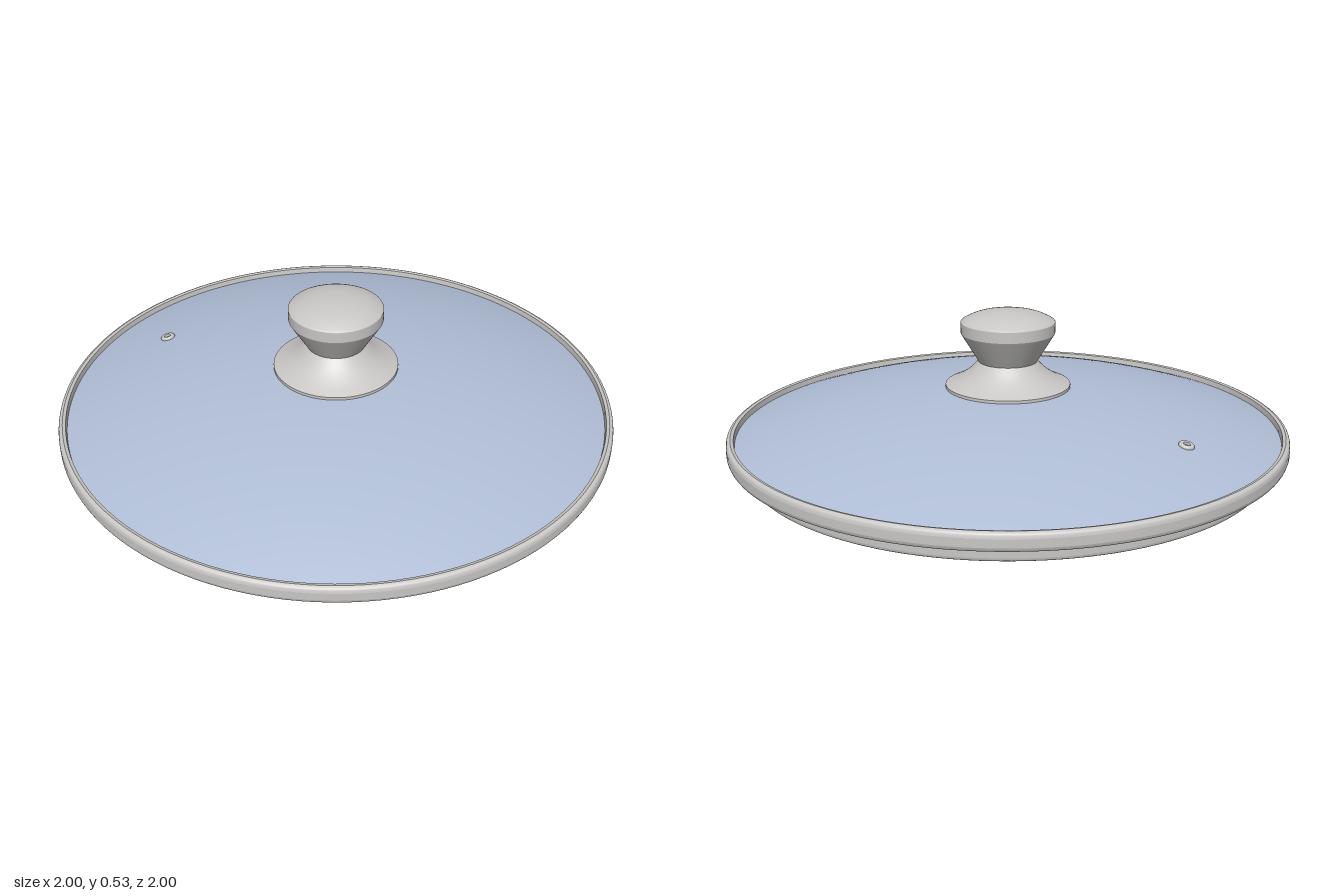
import * as THREE from 'three';
import { mergeGeometries } from 'three/addons/utils/BufferGeometryUtils.js';

const metal = new THREE.MeshStandardMaterial({ color: 0xc8c7c5 });
metal.name = 'brushed metal';
const glass = new THREE.MeshStandardMaterial({ color: 0xb0bed6 });
glass.name = 'tinted glass';

// Turned part: each run of [radius, height] points is smooth, edges between runs stay sharp
function turned(name, material, runs, segments = 128) {
  const parts = runs.map((run) =>
    new THREE.LatheGeometry(run.map(([r, y]) => new THREE.Vector2(r, y)), segments));
  const mesh = new THREE.Mesh(mergeGeometries(parts), material);
  mesh.name = name;
  return mesh;
}

// Split a polyline into one sharp run per straight piece
const straight = (pts) => pts.slice(1).map((p, i) => [pts[i], p]);

// Smooth curve through a few profile points
const curve = (pts, n = 12) =>
  new THREE.SplineCurve(pts.map(([r, y]) => new THREE.Vector2(r, y)))
    .getPoints(n).map((p) => [p.x, p.y]);

// Height of the spherical dome at a radius
const DOME = 2.95;
const domeY = (r, top = 0.26) => top - DOME + Math.sqrt(DOME * DOME - r * r);

export function createModel() {
  const lid = new THREE.Group();
  lid.name = 'potLid';

  // Glass dome: upper skin, lower skin rounding down into a short skirt
  const upper = [], lower = [];
  for (let i = 0; i <= 24; i++) {
    const t = i / 24;
    upper.push([0.975 * (1 - t), domeY(0.975 * (1 - t))]);
    lower.push([0.87 * t, domeY(0.87 * t, 0.242)]);
  }
  lower.push([0.895, 0.098], [0.909, 0.08], [0.915, 0.06], [0.916, 0.03]);
  lid.add(turned('glassDome', glass, [upper, lower, [[0.916, 0.03], [0.925, 0.03]]]));

  // Metal rim with a stepped lower ring
  lid.add(turned('metalRim', metal, [
    [[0.919, 0.03], [0.919, 0.004]],
    [[0.919, 0.004], [0.923, 0]],
    [[0.923, 0], [0.931, 0]],
    curve([[0.931, 0], [0.936, 0.004], [0.938, 0.012]], 6),
    [[0.938, 0.012], [0.938, 0.042]],
    curve([[0.938, 0.042], [0.942, 0.051], [0.952, 0.055]], 6),
    [[0.952, 0.055], [0.982, 0.055]],
    curve([[0.982, 0.055], [0.995, 0.06], [1, 0.072]], 8),
    [[1, 0.072], [1, 0.1]],
    curve([[1, 0.1], [0.996, 0.113], [0.985, 0.119]], 8),
    [[0.985, 0.119], [0.974, 0.116]],
    [[0.974, 0.116], [0.97, 0.09]],
  ]));

  // Knob: flared foot, cone and domed cap
  const knob = new THREE.Group();
  knob.name = 'knob';
  knob.add(turned('knobFoot', metal, [
    [[0.1, 0.25], [0.224, 0.25]],
    [[0.224, 0.25], [0.224, 0.262]],
    curve([[0.224, 0.262], [0.182, 0.282], [0.142, 0.309], [0.105, 0.345]]),
    [[0.105, 0.345], [0, 0.345]],
  ], 64));
  knob.add(turned('knobGrip', metal, [
    [[0.105, 0.345], [0.164, 0.442]],
    [[0.164, 0.442], [0.168, 0.449]],
    [[0.168, 0.449], [0.168, 0.486]],
    curve([[0.168, 0.486], [0.163, 0.493], [0.12, 0.513], [0.06, 0.526], [0, 0.53]], 16),
  ], 64));
  // Washer and screw head under the glass
  knob.add(turned('washer', metal, straight(
    [[0, 0.226], [0.06, 0.226], [0.068, 0.232], [0.068, 0.246]]), 48));
  knob.add(turned('screwHead', metal, [
    curve([[0, 0.207], [0.02, 0.209], [0.034, 0.217]], 8),
    [[0.034, 0.217], [0.034, 0.228]],
  ], 32));
  lid.add(knob);

  // Steam vent: small grommet set square to the dome
  const vent = turned('steamVent', metal, [
    ...straight([[0, -0.012], [0.01, -0.012], [0.012, -0.028]]),
    curve([[0.012, -0.028], [0.02, -0.029], [0.026, -0.024], [0.027, -0.016]], 8),
    [[0.014, -0.016], [0.014, 0]],
    curve([[0.027, 0], [0.026, 0.006], [0.02, 0.01], [0.012, 0.008]], 8),
    ...straight([[0.012, 0.008], [0.01, -0.008], [0, -0.008]]),
  ], 24);
  vent.position.set(-0.72, domeY(0.72), 0);
  vent.rotation.z = Math.asin(0.72 / DOME);
  lid.add(vent);

  return lid;
}
